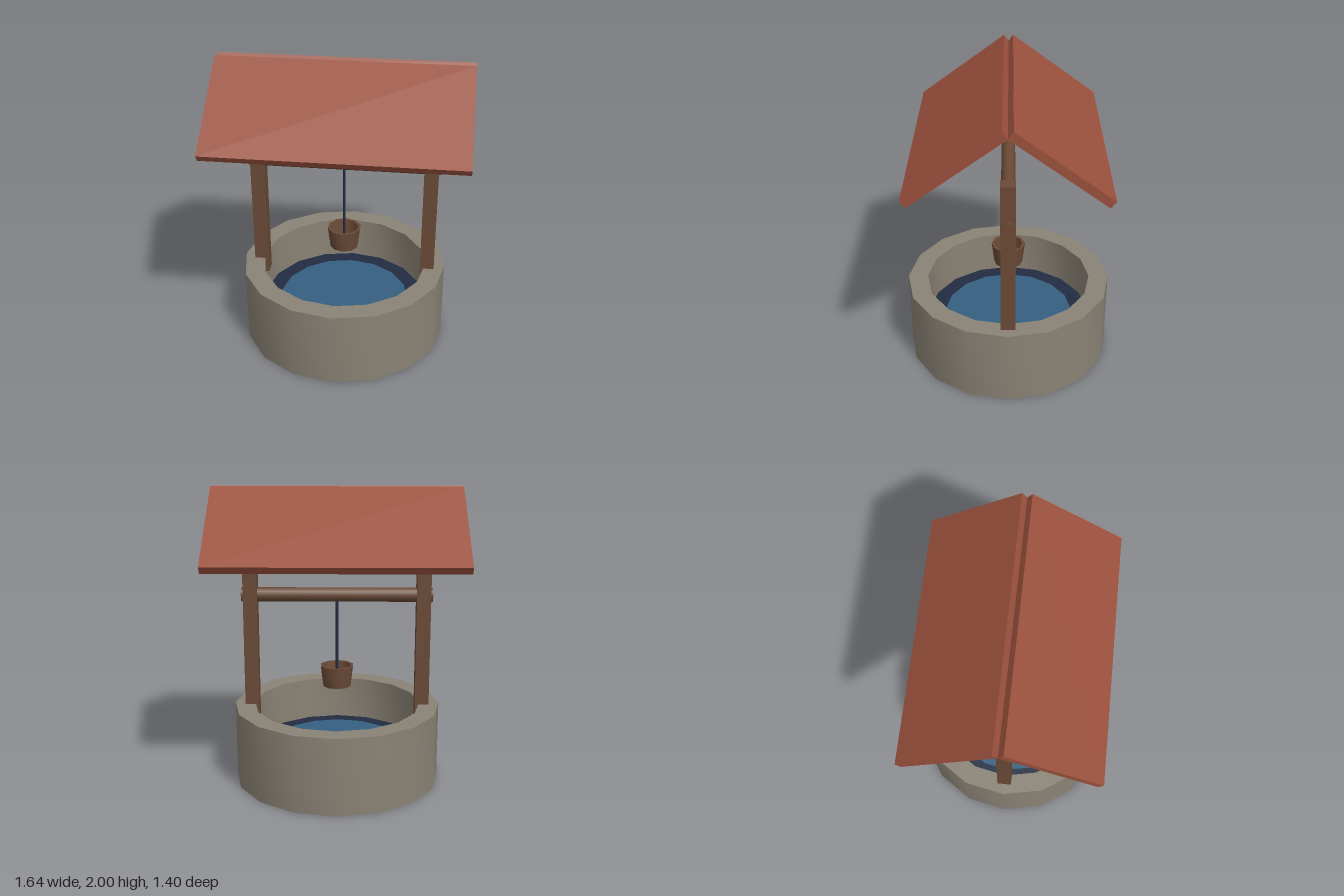
import * as THREE from 'three';
import { toCreasedNormals } from 'three/addons/utils/BufferGeometryUtils.js';

export function createModel() {
  const well = new THREE.Group();
  well.name = 'well';

  const material = (name, color, side = THREE.FrontSide) => {
    const m = new THREE.MeshStandardMaterial({ color, side });
    m.name = name;
    return m;
  };
  const stone = material('stone', 0x8a8275);
  const wood = material('wood', 0x6a4a36);
  const tile = material('roofTile', 0x9a503c);
  const navy = material('darkNavy', 0x222c42);
  const blue = material('water', 0x356080);

  const add = (name, geometry, mat, x = 0, y = 0, z = 0) => {
    const mesh = new THREE.Mesh(geometry, mat);
    mesh.name = name;
    mesh.position.set(x, y, z);
    well.add(mesh);
    return mesh;
  };
  // Turned solid: smooth round the axis, sharp at profile corners
  const turned = (points, sides) => toCreasedNormals(
    new THREE.LatheGeometry(points.map(([r, y]) => new THREE.Vector2(r, y)), sides), 0.7);

  // Stone ring with a closed base
  add('stoneWall', turned([[0, 0], [0.7, 0], [0.7, 0.52], [0.565, 0.52], [0.565, 0.2], [0, 0.2]], 16), stone);

  // Dark shaft floor with the water disc on it
  const disc = (r) => new THREE.CylinderGeometry(r, r, 0.008, 16);
  add('shaftFloor', disc(0.565), navy, 0, 0.218);
  add('waterSurface', disc(0.45), blue, 0, 0.226);

  // Posts, set into the inner edge of the wall
  for (const side of [-1, 1]) {
    add(side > 0 ? 'leftPost' : 'rightPost',
      new THREE.BoxGeometry(0.095, 1.15, 0.095), wood, side * 0.58, 0.985);
  }

  // Winding axle through both posts
  const axle = add('axle', new THREE.CylinderGeometry(0.048, 0.048, 1.28, 10), wood, 0, 1.28);
  axle.rotation.z = Math.PI / 2;

  // Rope and open bucket
  add('rope', new THREE.CylinderGeometry(0.01, 0.01, 0.6, 6), navy, 0, 0.97);
  add('bucket', turned([[0, 0], [0.097, 0], [0.115, 0.145], [0.097, 0.145], [0.082, 0.02], [0, 0.02]], 10),
    wood, 0, 0.645);

  // Two roof slabs meeting along their lower ridge edges
  for (const side of [-1, 1]) {
    const slab = add(side > 0 ? 'frontRoof' : 'backRoof',
      new THREE.BoxGeometry(1.64, 0.055, 0.725), tile, 0, 1.7635, side * 0.308);
    slab.rotation.x = side * 0.633;
  }

  return well;
}
